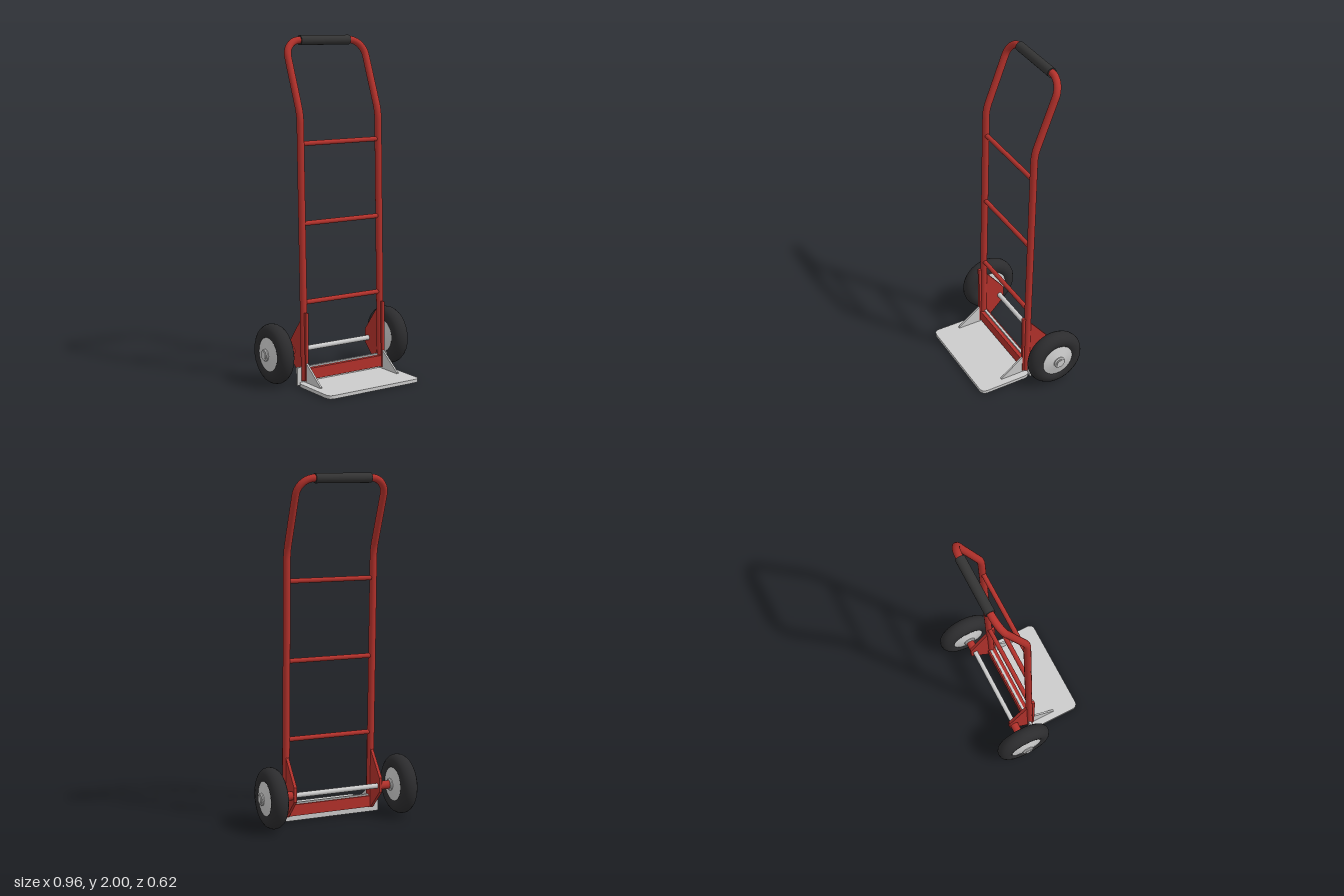
import * as THREE from 'three';

const mat = (color) => new THREE.MeshStandardMaterial({ color });
const V = (x, y, z) => new THREE.Vector3(x, y, z);

export function createModel() {
  const model = new THREE.Group();
  model.name = 'handTruck';
  const red = mat(0xb3312b), grey = mat(0xcccccc), rubber = mat(0x2c2c2e), gripMat = mat(0x343434);

  const add = (name, geometry, material, x = 0, y = 0, z = 0, parent = model) => {
    const mesh = new THREE.Mesh(geometry, material);
    mesh.name = name;
    mesh.position.set(x, y, z);
    parent.add(mesh);
    return mesh;
  };
  // Cylinder lying along x
  const rod = (r, length, sides = 20) => new THREE.CylinderGeometry(r, r, length, sides).rotateZ(Math.PI / 2);
  // Upright plate from [z, y] corners, thickness along x
  const sidePlate = (corners, thickness) => {
    const shape = new THREE.Shape(corners.map(([z, y]) => new THREE.Vector2(z, y)));
    return new THREE.ExtrudeGeometry(shape, { depth: thickness, bevelEnabled: false })
      .translate(0, 0, -thickness / 2).rotateY(-Math.PI / 2);
  };

  // Bent tube frame: one continuous hoop with rounded top corners
  const X = 0.27, foot = V(X, 0.03, -0.02), bend = V(X, 1.56, -0.055), top = V(X, 1.973, -0.215);
  const up = top.clone().sub(bend).normalize();
  const low = bend.clone().lerp(foot, 0.03);
  const high = bend.clone().addScaledVector(up, 0.045);
  const cornerStart = top.clone().addScaledVector(up, -0.1);
  const cornerEnd = V(X - 0.1, top.y, top.z);
  const c1 = cornerStart.clone().addScaledVector(up, 0.055);
  const c2 = V(X - 0.045, top.y, top.z);
  const m = (p) => V(-p.x, p.y, p.z);
  const path = new THREE.CurvePath();
  path.add(new THREE.LineCurve3(foot, low));
  path.add(new THREE.QuadraticBezierCurve3(low, bend, high));
  path.add(new THREE.LineCurve3(high, cornerStart));
  path.add(new THREE.CubicBezierCurve3(cornerStart, c1, c2, cornerEnd));
  path.add(new THREE.LineCurve3(cornerEnd, m(cornerEnd)));
  path.add(new THREE.CubicBezierCurve3(m(cornerEnd), m(c2), m(c1), m(cornerStart)));
  path.add(new THREE.LineCurve3(m(cornerStart), m(high)));
  path.add(new THREE.QuadraticBezierCurve3(m(high), m(bend), m(low)));
  path.add(new THREE.LineCurve3(m(low), m(foot)));
  add('frameTube', new THREE.TubeGeometry(path, 240, 0.021, 16), red);
  add('handleGrip', rod(0.028, 0.34, 24), gripMat, 0, top.y - 0.001, top.z);

  // Rungs follow the slight backward lean of the frame
  for (const y of [0.487, 0.942, 1.397]) {
    const t = (y - foot.y) / (bend.y - foot.y);
    add('rung', rod(0.014, 2 * X, 16), red, 0, y, THREE.MathUtils.lerp(foot.z, bend.z, t));
  }
  add('lowerCrossbar', new THREE.BoxGeometry(2 * X, 0.066, 0.048), red, 0, 0.068, -0.022);

  // Toe plate with rounded corners, and its upright rear lip
  const w = 0.318, z0 = -0.022, z1 = 0.306, r = 0.04;
  const toe = new THREE.Shape();
  toe.moveTo(-w + r, z0).lineTo(w - r, z0).quadraticCurveTo(w, z0, w, z0 + r)
    .lineTo(w, z1 - r).quadraticCurveTo(w, z1, w - r, z1)
    .lineTo(-w + r, z1).quadraticCurveTo(-w, z1, -w, z1 - r)
    .lineTo(-w, z0 + r).quadraticCurveTo(-w, z0, -w + r, z0);
  add('toePlate', new THREE.ExtrudeGeometry(toe, { depth: 0.02, bevelEnabled: false, curveSegments: 8 })
    .rotateX(Math.PI / 2), grey, 0, 0.022, 0);
  add('toePlateLip', new THREE.BoxGeometry(2 * w, 0.106, 0.015), grey, 0, 0.057, -0.028);

  // Axle
  const axleY = 0.183, axleZ = -0.135;
  add('axle', rod(0.015, 0.92), grey, 0, axleY, axleZ);

  // Wheel hub profile as [radius, offset], mirrored about the wheel centre
  const half = [[0, 0.07], [0.03, 0.07], [0.036, 0.064], [0.036, 0.058], [0.042, 0.056], [0.104, 0.04]];
  const hubProfile = [...half.map(([a, b]) => [a, -b]), ...half.slice().reverse()];
  // Separate bands keep the hub's edges sharp
  const hubBands = hubProfile.slice(1).map((p, i) =>
    new THREE.LatheGeometry([hubProfile[i], p].map(([a, b]) => new THREE.Vector2(a, b)), 28).rotateZ(-Math.PI / 2));

  for (const s of [1, -1]) {
    const sideName = s > 0 ? 'left' : 'right';
    // Axle bracket plate
    add(sideName + 'AxleBracket', sidePlate([
      [0.008, 0.03], [0.008, 0.43], [-0.01, 0.43], [-0.165, 0.235], [-0.165, 0.15], [-0.05, 0.035],
    ], 0.018), red, s * X, 0, 0);
    // Triangular toe plate brace
    add(sideName + 'ToeBrace', sidePlate([
      [-0.02, 0.02], [0.152, 0.02], [0.152, 0.028], [0, 0.14], [-0.02, 0.14],
    ], 0.011), grey, s * X, 0, 0);
    add(sideName + 'AxleSpacer', rod(0.025, 0.075), red, s * 0.305, axleY, axleZ);
    add(sideName + 'FrameFoot', new THREE.CircleGeometry(0.021, 16).rotateX(Math.PI / 2), red, s * X, foot.y, foot.z);

    // Wheel
    const wheel = new THREE.Group();
    wheel.name = sideName + 'Wheel';
    wheel.position.set(s * 0.405, axleY, axleZ);
    model.add(wheel);
    add('tyre', new THREE.TorusGeometry(0.126, 0.05, 16, 28).rotateY(Math.PI / 2), rubber, 0, 0, 0, wheel);
    const hub = new THREE.Group();
    hub.name = 'hub';
    wheel.add(hub);
    hubBands.forEach((band) => add('hubBand', band, grey, 0, 0, 0, hub));
    add('axleCap', rod(0.022, 0.008), grey, s * 0.07, 0, 0, wheel);
  }
  return model;
}
